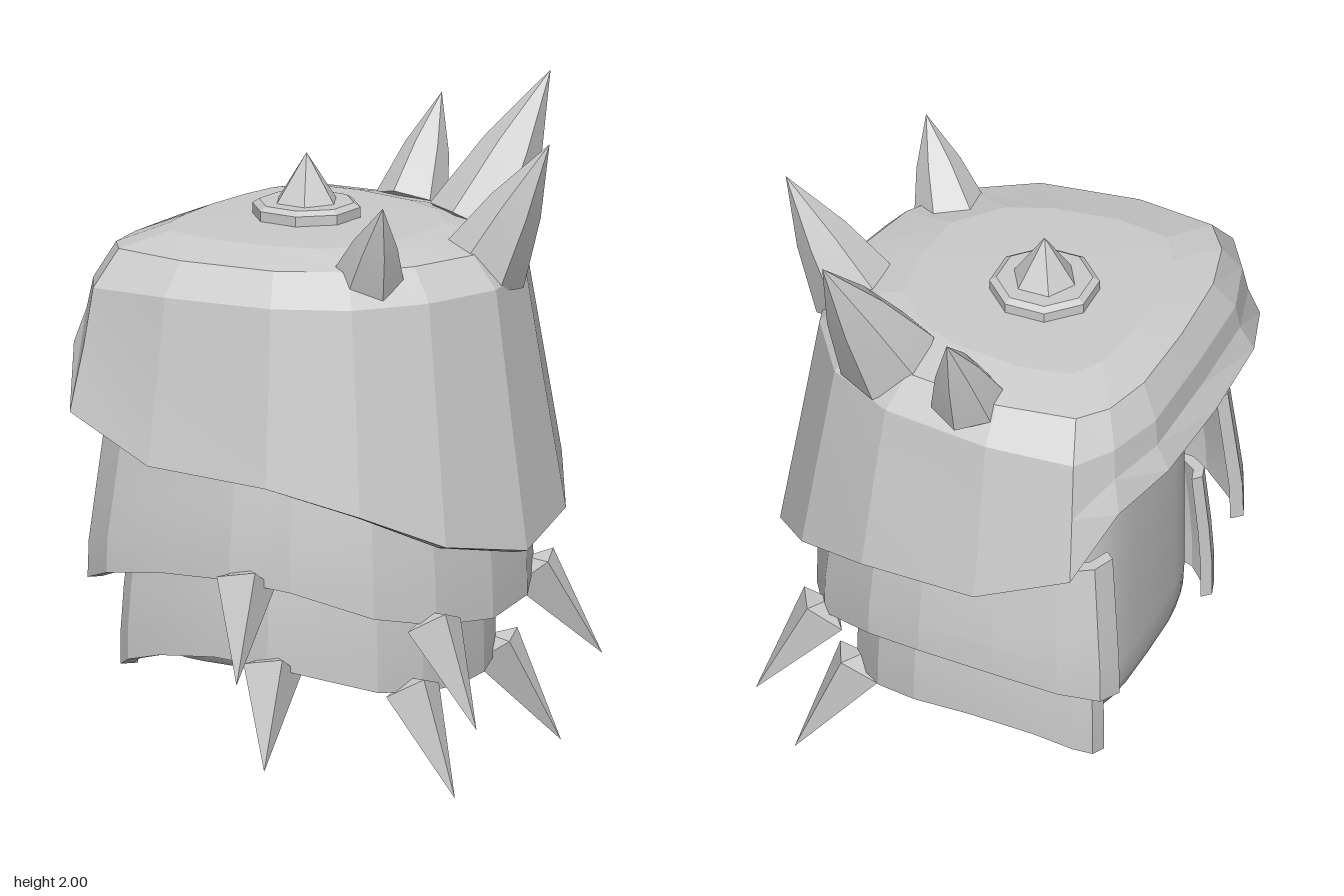
import * as THREE from 'three';
import { toCreasedNormals } from 'three/addons/utils/BufferGeometryUtils.js';

const CX = -0.05, CZ = -0.015; // axis of the armour
const V = (x, y, z) => new THREE.Vector3(x, y, z);

// Skin a list of closed rings of points, skipping collapsed triangles
function loft(rings, crease) {
  const pos = [];
  const tri = (a, b, c) => {
    const area = b.clone().sub(a).cross(c.clone().sub(a)).length();
    if (area > 1e-7) for (const p of [a, b, c]) pos.push(p.x, p.y, p.z);
  };
  for (let i = 0; i < rings.length - 1; i++) {
    const r = rings[i], s = rings[i + 1], n = r.length;
    for (let j = 0; j < n; j++) {
      const k = (j + 1) % n;
      tri(r[j], r[k], s[j]);
      tri(r[k], s[k], s[j]);
    }
  }
  const g = new THREE.BufferGeometry();
  g.setAttribute('position', new THREE.Float32BufferAttribute(pos, 3));
  return toCreasedNormals(g, crease);
}

// Half outline [x, z, y] from +x round to -x, mirrored into a full ring
function mirrorRing(half) {
  const ring = half.map(([x, z, y]) => V(x, y, CZ + z));
  for (let i = half.length - 2; i > 0; i--) ring.push(V(half[i][0], half[i][2], CZ - half[i][1]));
  return ring;
}

const shrink = (p, s, dy = 0) => V(CX + (p.x - CX) * s, p.y + dy, CZ + (p.z - CZ) * s);

// Domed top shell with a slanting rim, a flared lip at -x and real thickness
function shellGeometry() {
  const plateau = mirrorRing([[0.27, 0, 1.62], [0.25, 0.18, 1.62], [0.13, 0.31, 1.62], [0, 0.36, 1.62],
    [-0.2, 0.385, 1.62], [-0.36, 0.36, 1.62], [-0.42, 0.27, 1.62], [-0.44, 0.16, 1.62], [-0.45, 0, 1.62]]);
  const bevel = mirrorRing([[0.47, 0, 1.585], [0.41, 0.22, 1.585], [0.29, 0.39, 1.585], [0.1, 0.5, 1.585],
    [-0.2, 0.54, 1.585], [-0.44, 0.51, 1.585], [-0.51, 0.42, 1.58], [-0.55, 0.26, 1.575], [-0.56, 0, 1.575]]);
  const brow = mirrorRing([[0.55, 0, 1.49], [0.485, 0.255, 1.49], [0.35, 0.46, 1.49], [0.14, 0.575, 1.49],
    [-0.2, 0.625, 1.49], [-0.47, 0.6, 1.48], [-0.55, 0.48, 1.48], [-0.605, 0.3, 1.48], [-0.61, 0, 1.48]]);
  const flare = mirrorRing([[0.6, 0, 1.14], [0.53, 0.28, 1.17], [0.385, 0.49, 1.22], [0.16, 0.615, 1.25],
    [-0.2, 0.665, 1.25], [-0.48, 0.635, 1.31], [-0.56, 0.5, 1.39], [-0.615, 0.31, 1.4], [-0.62, 0, 1.4]]);
  const rim = mirrorRing([[0.66, 0, 0.72], [0.585, 0.315, 0.78], [0.425, 0.53, 0.89], [0.18, 0.66, 0.97],
    [-0.2, 0.715, 1.0], [-0.495, 0.685, 1.12], [-0.585, 0.53, 1.29], [-0.655, 0.32, 1.325], [-0.67, 0, 1.33]]);
  const point = y => rim.map(() => V(-0.1, y, CZ));
  const inner = (ring, dy) => ring.map(p => shrink(p, 0.94, dy));
  return loft([point(1.628), plateau, bevel, brow, flare, rim, inner(rim, -0.01), inner(flare, -0.015),
    inner(brow, -0.02), inner(bevel, -0.035), inner(plateau, -0.035), point(1.585)], 0.1);
}

// C-shaped hanging plate, open towards -x; half lists [x, z, bottom y] from the open end to +x
function bandGeometry(half, top, rows) {
  const cols = half.map(([x, z, y]) => V(x, y, CZ + z));
  for (let i = half.length - 2; i >= 0; i--) cols.push(V(half[i][0], half[i][2], CZ - half[i][1]));
  const rings = cols.map(c => {
    const outer = rows.map(([t, s]) => { const p = shrink(c, s); p.y = top + (c.y - top) * t; return p; });
    const inner = outer.map(p => shrink(p, 0.94));
    return { section: [...outer, ...inner.slice().reverse()], cap: [...inner, ...inner.slice().reverse()] };
  });
  // folding the end sections onto their inner edge closes the ends
  return loft([rings[0].cap, ...rings.map(r => r.section), rings[rings.length - 1].cap], 0.2);
}

// Smooth hollow body inside the plates, open at the bottom and squarer towards -x
function linerGeometry() {
  const levels = [[1.46, 0], [1.45, 0.6], [1.38, 0.87], [1.28, 0.97], [1.1, 1], [0.5, 1],
    [0.42, 0.99], [0.375, 0.96], [0.35, 0.92], [0.352, 0.88], [0.39, 0.92], [0.45, 0.945], [0.55, 0.95],
    [1.1, 0.95], [1.26, 0.92], [1.35, 0.82], [1.41, 0.55], [1.42, 0]];
  const n = 40;
  return loft(levels.map(([y, s]) => Array.from({ length: n }, (_, i) => {
    const a = i / n * Math.PI * 2, c = Math.cos(a), d = Math.sin(a), e = c < 0 ? 0.52 : 0.77;
    return V(-0.07 + 0.4 * s * Math.sign(c) * Math.abs(c) ** e, y, CZ + 0.435 * s * Math.sign(d) * Math.abs(d) ** e);
  })), 1);
}

// Faceted spike from base centre to tip, closed by a blunt root
function spikeGeometry(base, tip, r, sides, bulge) {
  const b = V(...base), dir = V(...tip).sub(b), h = dir.length();
  const g = new THREE.LatheGeometry([[0, -0.04], [r, 0], [r * bulge, h * 0.5], [0, h]]
    .map(p => new THREE.Vector2(...p)), sides);
  g.applyQuaternion(new THREE.Quaternion().setFromUnitVectors(V(0, 1, 0), dir.normalize()));
  g.translate(b.x, b.y, b.z);
  return toCreasedNormals(g, 0.2);
}

export function createModel() {
  const group = new THREE.Group();
  const steel = new THREE.MeshStandardMaterial({ color: 0xcccccc });
  steel.name = 'grey steel';
  const add = (name, geometry) => {
    const m = new THREE.Mesh(geometry, steel);
    m.name = name;
    group.add(m);
    return m;
  };

  add('topShell', shellGeometry());
  add('middlePlate', bandGeometry([[-0.56, 0.465, 0.58], [-0.53, 0.54, 0.59], [-0.42, 0.605, 0.63], [-0.22, 0.625, 0.66],
    [0.02, 0.61, 0.665], [0.2, 0.56, 0.64], [0.4, 0.42, 0.56], [0.5, 0.24, 0.52], [0.54, 0, 0.5]],
  1.04, [[0, 0.93], [0.4, 0.965], [0.75, 0.995], [1, 1]]));
  add('lowerPlate', bandGeometry([[-0.485, 0.405, 0.31], [-0.47, 0.455, 0.32], [-0.42, 0.49, 0.347], [-0.3, 0.505, 0.378],
    [-0.1, 0.515, 0.4], [0.08, 0.5, 0.39], [0.22, 0.44, 0.36], [0.34, 0.31, 0.31], [0.4, 0.16, 0.29], [0.42, 0, 0.285]],
  0.75, [[0, 0.95], [0.45, 0.985], [0.75, 1], [1, 1]]));
  add('innerBody', linerGeometry());

  // Octagonal boss with a small hexagonal point
  const boss = new THREE.LatheGeometry([[0, 1.6], [0.162, 1.6], [0.162, 1.655], [0.142, 1.668], [0, 1.668]]
    .map(p => new THREE.Vector2(...p)), 8, Math.PI / 8);
  add('bossPlate', toCreasedNormals(boss, 0.2)).position.set(-0.13, 0, -0.03);
  const stud = new THREE.ConeGeometry(0.1, 0.15, 6);
  stud.rotateY(Math.PI / 6);
  add('bossPoint', toCreasedNormals(stud, 0.2)).position.set(-0.13, 1.738, -0.03);

  // Upper spikes: base, tip, radius
  for (const [base, tip, r] of [
    [[-0.1, 1.57, -0.54], [-0.1, 1.87, -0.695], 0.11],
    [[0.2, 1.56, -0.43], [0.315, 2.0, -0.65], 0.15],
    [[0.425, 1.52, -0.13], [0.635, 1.91, -0.17], 0.135],
    [[0.31, 1.55, 0.3], [0.43, 1.8, 0.4], 0.11],
  ]) add('upperSpike', spikeGeometry(base, tip, r, 6, 0.6));

  // Downward spikes on the hanging plates
  for (const [base, tip] of [
    [[0.06, 0.66, 0.57], [0.135, 0.39, 0.73]],
    [[0.08, 0.38, 0.46], [0.155, 0.11, 0.615]],
    [[0.49, 0.52, 0.22], [0.67, 0.235, 0.265]],
    [[0.38, 0.3, 0.17], [0.56, 0.005, 0.215]],
    [[0.41, 0.56, -0.42], [0.575, 0.3, -0.535]],
    [[0.33, 0.33, -0.34], [0.49, 0.045, -0.445]],
  ]) add('lowerSpike', spikeGeometry(base, tip, 0.09, 4, 0.5));

  return group;
}
